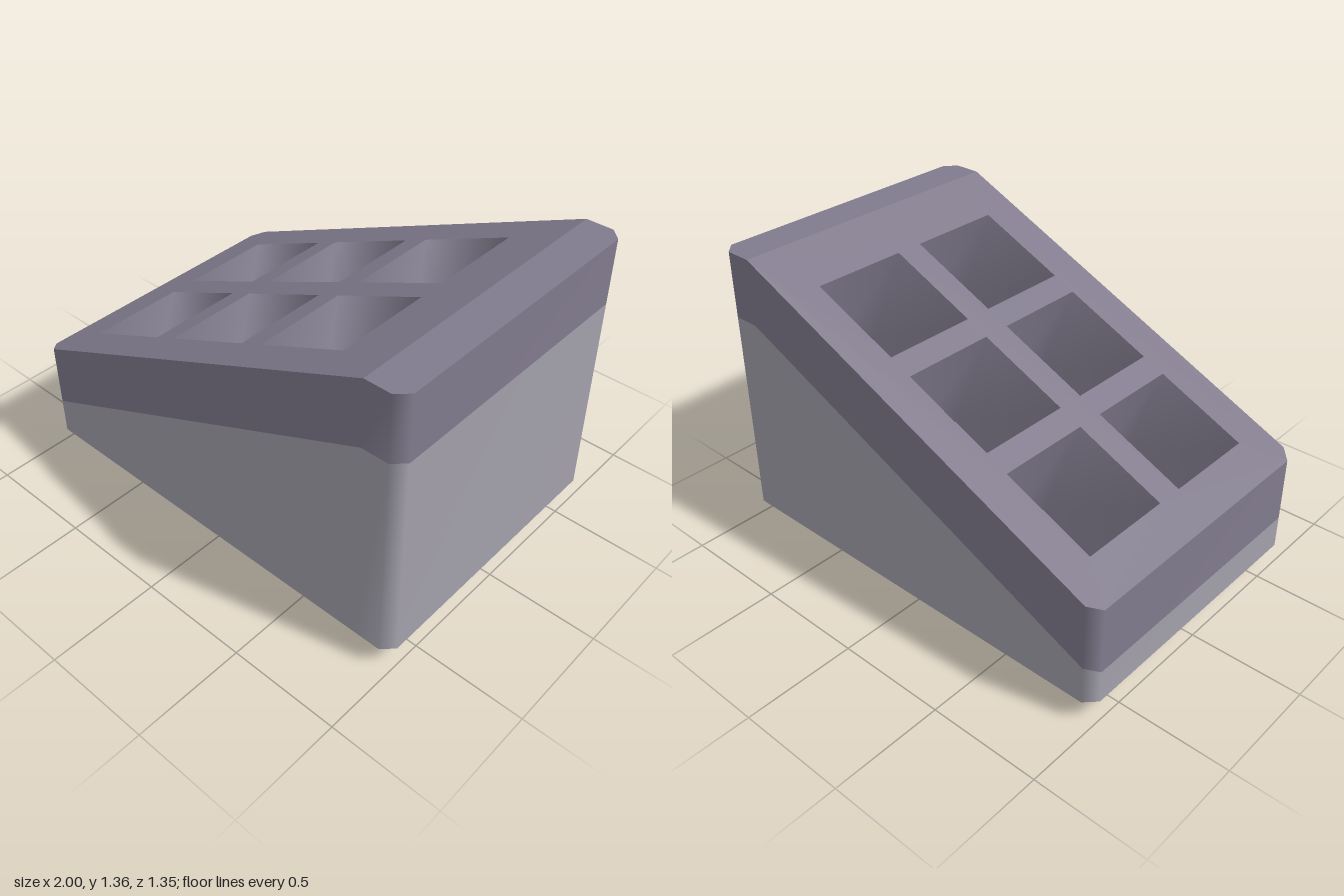
import * as THREE from 'three';

const bodyGrey = new THREE.MeshStandardMaterial({ color: 0xa3a0ab });
bodyGrey.name = 'light grey';
const panelGrey = new THREE.MeshStandardMaterial({ color: 0x817b8d });
panelGrey.name = 'purple grey';

const HX = 1, HZ = 0.675, CUT = 0.05, RIDGE = 0.83, BASE = 0.1, BAND = 0.3;
const SLOPE = (1.36 - 0.55) / (RIDGE + HX);
const topY = (x) => 0.55 + SLOPE * (Math.min(x, RIDGE) + HX);
const seamY = (x) => topY(x) - BAND;

// Plan outline as [x, -z], counter-clockwise, split where the slope ends
const outline = [
  [-HX + CUT, -HZ], [RIDGE, -HZ], [HX - CUT, -HZ], [HX, -HZ + CUT], [HX, HZ - CUT],
  [HX - CUT, HZ], [RIDGE, HZ], [-HX + CUT, HZ], [-HX, HZ - CUT], [-HX, -HZ + CUT],
];
const ring = (points, height) => points.map(([x, y]) => [x, height(x), -y]);

function mesh(geometry, material, name) {
  const m = new THREE.Mesh(geometry, material);
  m.name = name;
  return m;
}

// Smooth wall between two rings with equal point counts
function loft(lower, upper) {
  const n = lower.length, index = [];
  for (let i = 0; i < n; i++) {
    const j = (i + 1) % n;
    index.push(i, j, n + j, i, n + j, n + i);
  }
  const g = new THREE.BufferGeometry();
  g.setAttribute('position', new THREE.Float32BufferAttribute([...lower, ...upper].flat(), 3));
  g.setIndex(index);
  g.computeVertexNormals();
  return g;
}

// Upward-facing plate cut from a plan shape and draped over a height rule
function plate(points, height, holes = []) {
  const toVec = (list) => list.map(([x, y]) => new THREE.Vector2(x, y));
  const shape = new THREE.Shape(toVec(points));
  for (const hole of holes) shape.holes.push(new THREE.Path(toVec(hole)));
  const g = new THREE.ShapeGeometry(shape).rotateX(-Math.PI / 2);
  const p = g.attributes.position;
  for (let i = 0; i < p.count; i++) p.setY(i, height(p.getX(i)));
  g.computeVertexNormals();
  return g;
}

export function createModel() {
  const group = new THREE.Group();

  // Lower housing and the band around its sloping top
  group.add(mesh(loft(ring(outline, () => BASE), ring(outline, seamY)), bodyGrey, 'housingWall'));
  group.add(mesh(loft(ring(outline, seamY), ring(outline, topY)), panelGrey, 'topBand'));
  const underside = plate(outline, () => 0).rotateX(Math.PI).translate(0, BASE, 0);
  group.add(mesh(underside, bodyGrey, 'underside'));

  // Tapered pockets sunk square to the slope
  const angle = Math.atan(SLOPE), depth = 0.47, taper = 0.056;
  const dx = Math.sin(angle) * depth, dy = Math.cos(angle) * depth;
  const taperX = taper * Math.cos(angle);
  const rect = (x, y, w, h) => [[x - w, y - h], [x + w, y - h], [x + w, y + h], [x - w, y + h]];
  const floorY = (x) => 0.55 + SLOPE * (x - dx + HX) - dy;
  const holes = [];
  for (const z of [-0.283, 0.283]) {
    for (const x of [-0.627, -0.117, 0.393]) {
      const mouth = rect(x, z, 0.203, 0.22);
      const floor = rect(x + dx, z, 0.203 - taperX, 0.22 - taper);
      holes.push(mouth);
      const pocket = new THREE.Group();
      pocket.name = 'pocket';
      pocket.add(mesh(loft(ring(mouth, topY), ring(floor, floorY)), panelGrey, 'pocketWall'));
      pocket.add(mesh(plate(floor, floorY), panelGrey, 'pocketFloor'));
      group.add(pocket);
    }
  }

  // Sloping face with openings, and the level strip at the high end
  const slopeOutline = [0, 1, 6, 7, 8, 9].map((i) => outline[i]);
  group.add(mesh(plate(slopeOutline, topY, holes), panelGrey, 'slopingFace'));
  group.add(mesh(plate(outline.slice(1, 7), topY), panelGrey, 'levelStrip'));

  // Four square feet
  const footGeometry = new THREE.CylinderGeometry(0.166, 0.166, BASE, 4).rotateY(Math.PI / 4);
  for (const x of [-0.762, 0.762]) {
    for (const z of [-0.437, 0.437]) {
      const foot = mesh(footGeometry, bodyGrey, 'foot');
      foot.position.set(x, BASE / 2, z);
      group.add(foot);
    }
  }
  return group;
}
